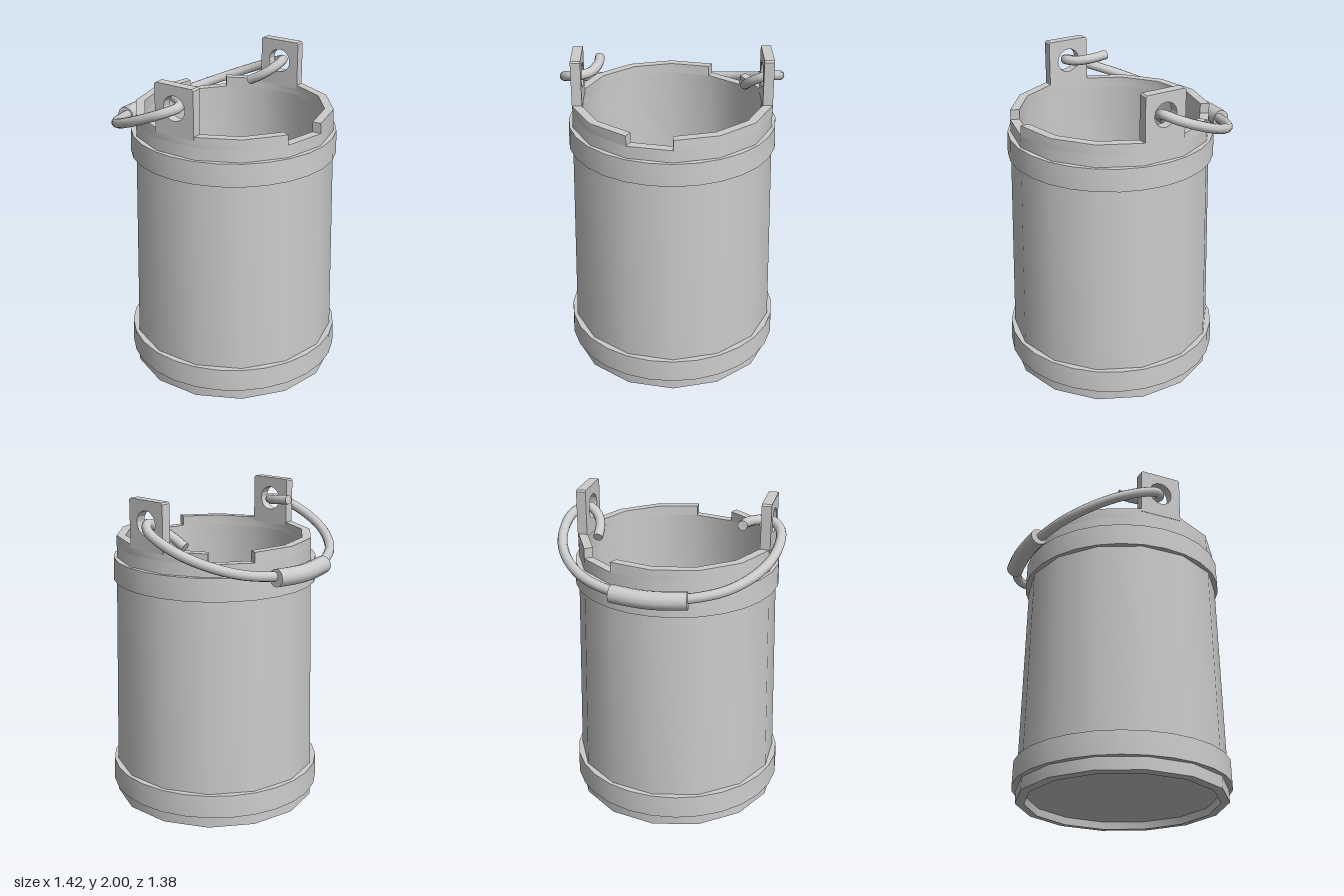
import * as THREE from 'three';
import { toCreasedNormals } from 'three/addons/utils/BufferGeometryUtils.js';

const SIDES = 14;
const SEG = (Math.PI * 2) / SIDES;
const CX = 0.04; // axis of the bucket

export function createModel() {
  const group = new THREE.Group();
  const mat = new THREE.MeshStandardMaterial({ color: 0xcccccc });
  const thin = new THREE.MeshStandardMaterial({ color: 0xcccccc, side: THREE.DoubleSide });

  const add = (name, geo, x = 0, y = 0, z = 0, material = mat) => {
    const mesh = new THREE.Mesh(geo, material);
    mesh.name = name;
    mesh.position.set(x, y, z);
    group.add(mesh);
    return mesh;
  };
  const lathe = (pts, sides, start = 0, length = Math.PI * 2) =>
    toCreasedNormals(
      new THREE.LatheGeometry(pts.map(p => new THREE.Vector2(...p)), sides, start, length), 0.6);

  // Hollow tapered body with a recessed underside, flat sides facing front and back
  add('body', lathe([
    [0, 0.05], [0.588, 0.05], [0.595, 0.003], [0.65, 0.008], [0.648, 0.1], [0.612, 1.66],
    [0.555, 1.66], [0.552, 0.15], [0, 0.15],
  ], SIDES, SEG / 2), CX);

  // Raised rim in two runs, leaving a notch on each side
  for (const [first, count] of [[3.5, 5], [9.5, 7]]) {
    add('rim', lathe([[0.612, 1.66], [0.61, 1.722], [0.555, 1.722], [0.555, 1.66]],
      count, first * SEG, count * SEG), CX);
    for (const phi of [first * SEG, (first + count) * SEG]) {
      const end = add('rimEnd', new THREE.PlaneGeometry(0.056, 0.062),
        CX + 0.583 * Math.sin(phi), 1.691, 0.583 * Math.cos(phi), thin);
      end.rotation.y = phi - Math.PI / 2;
    }
  }

  // Hoops round the top and the bottom
  const hoop = (name, y0, y1, r0, r1) => add(name, lathe([
    [0.58, y0], [r0, y0], [r1, y1], [0.58, y1],
  ], SIDES * 2), CX);
  hoop('lowerHoop', 0.085, 0.23, 0.672, 0.668);
  hoop('upperHoop', 1.445, 1.585, 0.637, 0.632);

  // Lugs with a round hole for the handle
  const lug = new THREE.Shape();
  lug.moveTo(-0.135, 1.7);
  lug.lineTo(0.135, 1.7);
  lug.lineTo(0.135, 1.99);
  lug.lineTo(0.125, 2);
  lug.lineTo(-0.125, 2);
  lug.lineTo(-0.135, 1.99);
  lug.closePath();
  const hole = new THREE.Path();
  hole.absarc(0, 1.865, 0.075, 0, Math.PI * 2, true);
  lug.holes.push(hole);
  const lugGeo = new THREE.ExtrudeGeometry(lug, { depth: 0.06, bevelEnabled: false, curveSegments: 8 });
  add('frontLug', lugGeo, 0.035, 0, 0.538);
  add('backLug', lugGeo, 0.035, 0, -0.598);

  // Tube with closed ends
  const rod = (name, pts, radius, steps, sides) => {
    const curve = new THREE.CatmullRomCurve3(pts.map(p => new THREE.Vector3(...p)));
    add(name, new THREE.TubeGeometry(curve, steps, radius, sides));
    for (const t of [0, 1]) {
      const p = curve.getPoint(t);
      const cap = add(name + 'End', new THREE.CircleGeometry(radius, sides), p.x, p.y, p.z);
      const dir = curve.getTangent(t).multiplyScalar(t ? 1 : -1);
      cap.quaternion.setFromUnitVectors(new THREE.Vector3(0, 0, 1), dir);
    }
  };

  // Tilted wire handle, hooked through both lugs
  const slope = x => 1.865 + 0.41 * (x - 0.05);
  const arc = [[-0.02, 0.64], [-0.13, 0.66], [-0.28, 0.633], [-0.425, 0.548], [-0.545, 0.41], [-0.625, 0.2]];
  const side = s => arc.map(([x, z]) => [x, slope(x), z * s]);
  rod('handle', [
    [-0.19, 1.893, 0.445], [-0.1, 1.882, 0.45], [0, 1.868, 0.495], [0.04, 1.862, 0.57],
    ...side(1), [-0.65, slope(-0.65), 0], ...side(-1).reverse(),
    [0.04, 1.86, -0.57], [0.01, 1.82, -0.5], [-0.05, 1.775, -0.465], [-0.14, 1.725, -0.455],
  ], 0.03, 80, 10);

  // Thicker hand grip
  rod('grip', [
    [-0.635, slope(-0.635), 0.225], [-0.65, slope(-0.65), 0.11], [-0.657, slope(-0.657), 0],
    [-0.65, slope(-0.65), -0.11], [-0.635, slope(-0.635), -0.225],
  ], 0.054, 10, 12);

  return group;
}
